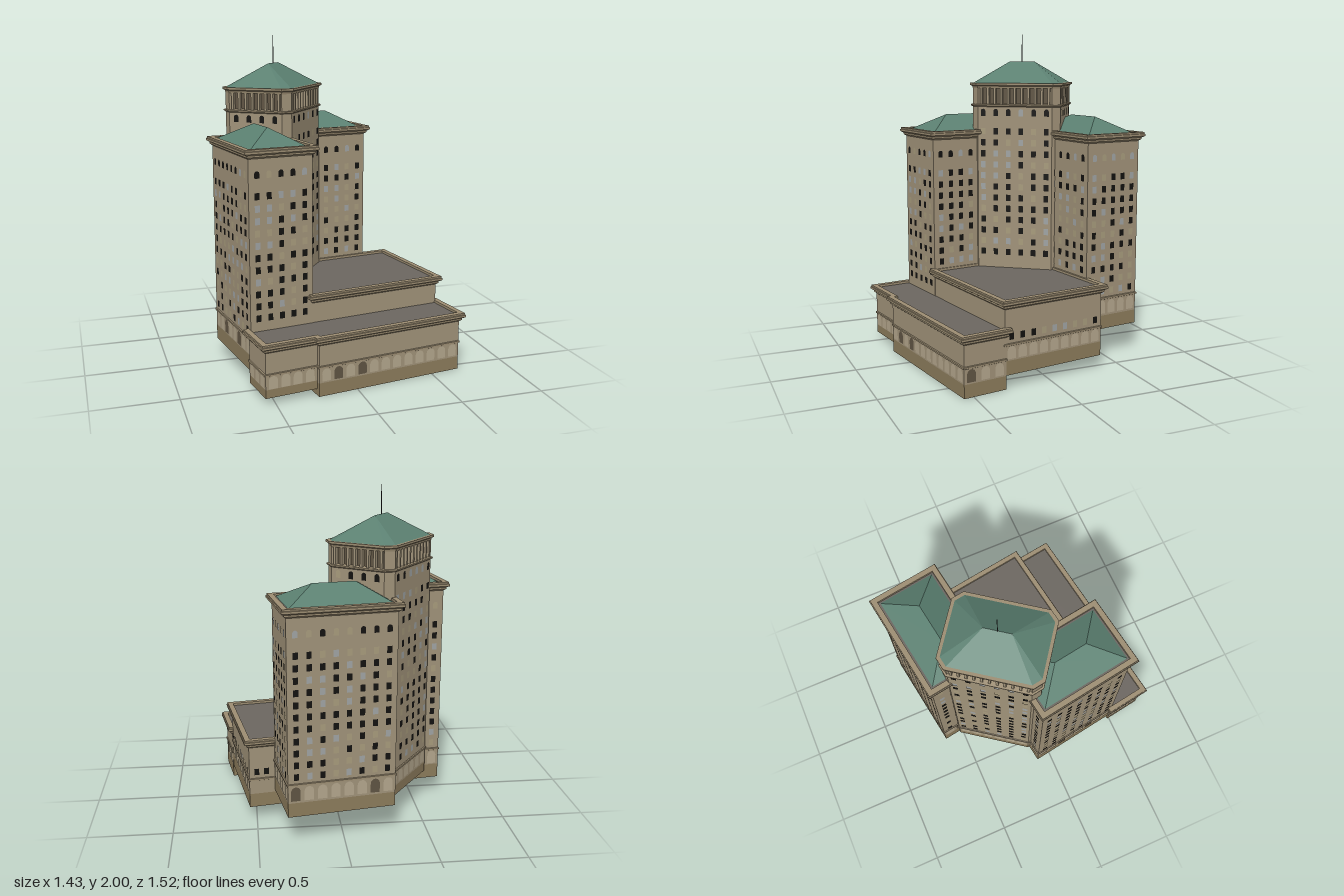
import * as THREE from 'three';
import { mergeGeometries } from 'three/addons/utils/BufferGeometryUtils.js';
import { ConvexGeometry } from 'three/addons/geometries/ConvexGeometry.js';

const mat = (color) => new THREE.MeshStandardMaterial({ color, side: THREE.DoubleSide });
const M = {
  wall: mat(0xa09279), base: mat(0x8b7b5b), trim: mat(0x9c8d72), recess: mat(0x5f5443),
  roof: mat(0x5b8071), flat: mat(0x6b6660), dark: mat(0x12110f), pale: mat(0x9fa3a3),
  tan: mat(0xa79b7c), arch: mat(0xb3a68c), metal: mat(0x3a3a3a),
};

export function createModel() {
  const root = new THREE.Group();
  const site = new THREE.Group();
  site.name = 'building';
  site.rotation.y = 0.15;
  root.add(site);

  let seed = 7;
  const rand = () => (seed = (seed * 16807) % 2147483647) / 2147483647;

  const add = (name, geometry, material) => {
    const mesh = new THREE.Mesh(geometry, material);
    mesh.name = name;
    site.add(mesh);
    return mesh;
  };

  // Plan outlines are [x, z] corners, counter-clockwise from above
  const rect = (x0, x1, z0, z1) => [[x0, z1], [x1, z1], [x1, z0], [x0, z0]];
  const normal = (a, b) => {
    const dx = b[0] - a[0], dz = b[1] - a[1], l = Math.hypot(dx, dz);
    return [-dz / l, dx / l];
  };
  const offset = (poly, d) => poly.map((p, i) => {
    const n = poly.length;
    const m = normal(poly[(i + n - 1) % n], p), k = normal(p, poly[(i + 1) % n]);
    const s = d / (1 + m[0] * k[0] + m[1] * k[1]);
    return [p[0] + (m[0] + k[0]) * s, p[1] + (m[1] + k[1]) * s];
  });

  // Sweep an [offset, y] profile around an outline
  const loft = (name, poly, profile, material) => {
    const rings = profile.map(([d, y]) => offset(poly, d).map(([x, z]) => [x, y, z]));
    const pos = [];
    for (let r = 0; r + 1 < rings.length; r++) {
      for (let i = 0; i < poly.length; i++) {
        const j = (i + 1) % poly.length;
        const a = rings[r][i], b = rings[r][j], c = rings[r + 1][j], d = rings[r + 1][i];
        pos.push(...a, ...b, ...c, ...a, ...c, ...d);
      }
    }
    const g = new THREE.BufferGeometry();
    g.setAttribute('position', new THREE.Float32BufferAttribute(pos, 3));
    g.computeVertexNormals();
    return add(name, g, material);
  };

  const deck = (name, poly, y) => {
    const shape = new THREE.Shape(poly.map(([x, z]) => new THREE.Vector2(x, -z)));
    add(name, new THREE.ShapeGeometry(shape).rotateX(-Math.PI / 2).translate(0, y, 0), M.flat);
  };

  const walls = (name, poly, y0, sill, belt, top) => {
    loft(name + 'Base', poly, [[0, y0], [0, sill]], M.base);
    loft(name + 'Walls', poly, [[0, sill], [0, top]], M.wall);
    loft(name + 'Belt', poly, [[0, belt - 0.008], [0.006, belt - 0.005], [0.006, belt + 0.005], [0, belt + 0.008]], M.trim);
  };

  const cornice = (name, poly, top) => loft(name + 'Cornice', poly,
    [[0, -0.055], [0.013, -0.045], [0.013, -0.035], [0.03, -0.025], [0.03, -0.012], [0.025, -0.01],
      [0.025, 0], [-0.008, 0], [-0.008, -0.02]].map(([d, y]) => [d, top + y]), M.trim);

  // Hip roof: eave outline plus the two ridge ends
  const hip = (name, poly, y, ridge, ridgeY) => add(name, new ConvexGeometry([
    ...poly.map(([x, z]) => new THREE.Vector3(x, y, z)),
    ...ridge.map(([x, z]) => new THREE.Vector3(x, ridgeY, z))]), M.roof);

  // Window panes, gathered by colour
  const panes = { dark: [], pale: [], tan: [], arch: [] };
  const archShape = (w, h) => {
    const s = new THREE.Shape();
    s.moveTo(-w / 2, -h / 2);
    s.lineTo(w / 2, -h / 2);
    s.lineTo(w / 2, h / 2 - w / 2);
    s.absarc(0, h / 2 - w / 2, w / 2, 0, Math.PI);
    return new THREE.ShapeGeometry(s, 5);
  };
  const tint = () => {
    const r = rand();
    return r < 0.6 ? 'dark' : r < 0.78 ? 'pale' : 'tan';
  };
  const row = (a, b, cols, margin, y, w, h, arched, pick = tint) => {
    const n = normal(a, b), len = Math.hypot(b[0] - a[0], b[1] - a[1]);
    for (let i = 0; i < cols; i++) {
      const t = (margin + (len - 2 * margin) * (cols > 1 ? i / (cols - 1) : 0.5)) / len;
      const g = arched ? archShape(w, h) : new THREE.PlaneGeometry(w, h);
      g.rotateY(Math.atan2(n[0], n[1]));
      g.translate(a[0] + (b[0] - a[0]) * t + n[0] * 0.002, y, a[1] + (b[1] - a[1]) * t + n[1] * 0.002);
      panes[pick()].push(g);
    }
  };
  const grid = (a, b, cols, margin, top, bottom) => {
    for (let y = top; y > bottom; y -= 0.071) row(a, b, cols, margin, y, 0.03, 0.04, false);
  };
  const arcade = (a, b, cols, y, h = 0.075) =>
    row(a, b, cols, 0.045, y, 0.055, h, true, () => (rand() < 0.1 ? 'recess' : 'arch'));
  panes.recess = [];

  // Two wings meeting at the corner tower
  const wing = (name, poly, y0, sill, belt, ridge, faces) => {
    walls(name, poly, y0, sill, belt, 1.345);
    cornice(name, poly, 1.4);
    deck(name + 'Gutter', poly, 1.385);
    hip(name + 'Roof', offset(poly, -0.02), 1.39, ridge, 1.49);
    faces.forEach(([cols, bottom, arches], i) => {
      const a = poly[i], b = poly[(i + 1) % 4];
      if (!cols) return;
      row(a, b, cols, 0.05, 1.255, 0.03, 0.042, true);
      grid(a, b, cols, 0.05, 1.133, bottom);
      if (arches) arcade(a, b, arches, belt - 0.055, 0.085);
    });
  };
  wing('leftWing', rect(-0.652, -0.262, -0.205, 0.395), 0.11, 0.2, 0.305,
    [[-0.457, -0.01], [-0.457, 0.2]], [[5, 0.4, 0], [8, 0.55, 0], [5, 0.35, 5], [8, 0.35, 8]]);
  wing('backWing', rect(-0.203, 0.435, -0.673, -0.286), 0.18, 0.265, 0.375,
    [[-0.008, -0.48], [0.242, -0.48]], [[8, 0.55, 0], [5, 0.4, 5], [8, 0.4, 8], [5, 0.4, 5]]);

  // Corner tower: chamfered rectangle turned 45 degrees
  const cx = -0.232, cz = -0.242, P = 0.285, Q = 0.215, C = 0.045, k = Math.SQRT1_2;
  const turn = ([p, q]) => [cx + (q - p) * k, cz + (q + p) * k];
  const tower = [[P - C, Q], [-P + C, Q], [-P, Q - C], [-P, -Q + C],
    [-P + C, -Q], [P - C, -Q], [P, -Q + C], [P, Q - C]].map(turn);
  walls('tower', tower, 0.17, 0.23, 0.33, 1.55);
  [[0, 6, 0.55], [4, 6, 0.38]].forEach(([i, cols, bottom]) => {
    grid(tower[i], tower[i + 1], cols, 0.035, 1.39, bottom);
    row(tower[i], tower[i + 1], cols, 0.035, 1.51, 0.03, 0.045, true);
  });
  [2, 6].forEach((i) => row(tower[i], tower[i + 1], 4, 0.045, 1.51, 0.03, 0.045, true));
  arcade(tower[4], tower[5], 6, 0.28);

  // Tower loggia: recessed wall, pilasters, corner piers
  loft('loggiaBelt', tower, [[0, 1.545], [0.012, 1.552], [0.012, 1.56], [-0.03, 1.565]], M.trim);
  loft('loggiaRecess', offset(tower, -0.025), [[0, 1.56], [0, 1.68]], M.recess);
  const posts = [];
  tower.forEach((a, i) => {
    const b = tower[(i + 1) % 8], n = normal(a, b), pier = i % 2 === 1;
    const count = pier ? 1 : i % 4 === 0 ? 11 : 8;
    for (let j = 0; j < count; j++) {
      const t = pier ? 0.5 : (j + 0.5) / count;
      const g = new THREE.BoxGeometry(pier ? 0.064 : 0.014, 0.12, 0.024);
      g.rotateY(Math.atan2(n[0], n[1]));
      g.translate(a[0] + (b[0] - a[0]) * t - n[0] * 0.012, 1.615, a[1] + (b[1] - a[1]) * t - n[1] * 0.012);
      posts.push(g);
    }
  });
  add('loggiaPilasters', mergeGeometries(posts), M.wall);
  loft('towerEave', tower, [[-0.025, 1.662], [0, 1.662], [0.003, 1.675], [0.016, 1.682], [0.016, 1.695], [-0.012, 1.695]], M.trim);
  hip('towerRoof', offset(tower, 0.004), 1.69, [turn([0.08, 0]), turn([-0.08, 0])], 1.83);
  add('mast', new THREE.CylinderGeometry(0.002, 0.003, 0.18, 6).translate(cx, 1.91, cz), M.metal);

  // Podium in the angle between the wings
  const podium = rect(-0.262, 0.59, -0.281, 0.393);
  walls('podium', podium, 0.08, 0.165, 0.258, 0.465);
  cornice('podium', podium, 0.52);
  deck('podiumRoof', podium, 0.505);
  arcade(podium[1], podium[2], 9, 0.212);
  row(podium[1], podium[2], 9, 0.045, 0.307, 0.03, 0.04, false);
  row([0.59, -0.281], [0.44, -0.281], 2, 0.045, 0.307, 0.03, 0.04, false);

  // Low front block, with a small step in its front
  const lowLeft = rect(-0.66, -0.345, 0.385, 0.63), lowRight = rect(-0.345, 0.592, 0.385, 0.655);
  const low = [[-0.66, 0.63], [-0.345, 0.63], [-0.345, 0.655], [0.592, 0.655], [0.592, 0.385], [-0.66, 0.385]];
  walls('lowBlockLeft', lowLeft, 0.04, 0.09, 0.175, 0.305);
  walls('lowBlockRight', lowRight, 0, 0.08, 0.175, 0.305);
  cornice('lowBlock', low, 0.36);
  deck('lowBlockRoof', low, 0.345);
  arcade(lowLeft[0], lowLeft[1], 4, 0.13);
  arcade(lowLeft[3], lowLeft[0], 3, 0.13);
  arcade(lowRight[0], lowRight[1], 12, 0.127);
  arcade(lowRight[1], lowRight[2], 3, 0.127);

  for (const [key, list] of Object.entries(panes)) {
    if (list.length) add(key + 'Windows', mergeGeometries(list.map((g) => g.toNonIndexed())), M[key]);
  }
  return root;
}
